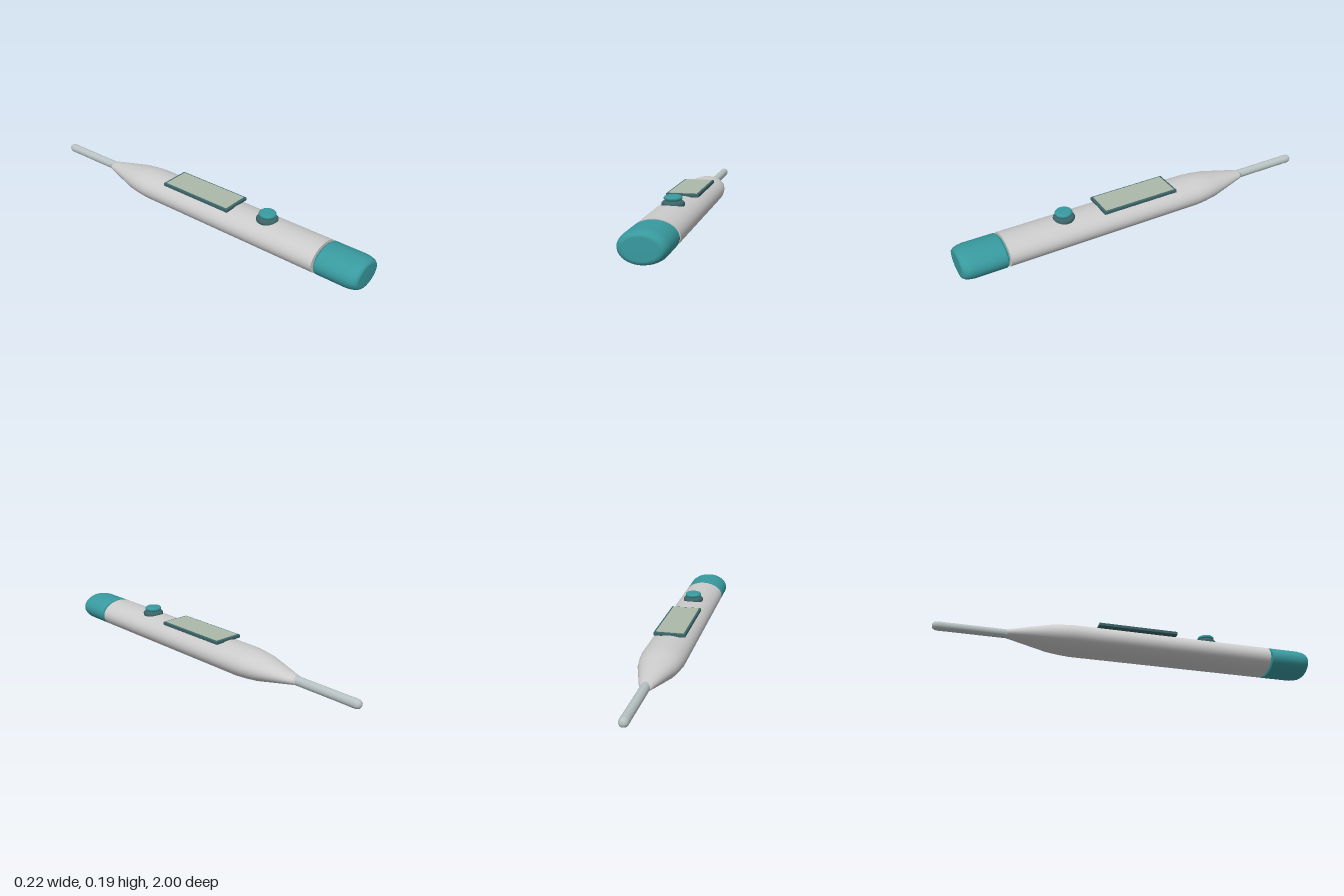
import * as THREE from 'three';
import { RoundedBoxGeometry } from 'three/addons/geometries/RoundedBoxGeometry.js';

const AXIS_Y = 0.075;
const FLAT = 0.67; // height of the oval section relative to its width

const paint = (color) => new THREE.MeshStandardMaterial({ color });

export function createModel() {
  const model = new THREE.Group();
  const shell = paint(0xdde1e0);
  const teal = paint(0x389a9f);
  const dark = paint(0x3c6468);
  const metal = paint(0xb8c2c2);
  const glass = paint(0xabb9a9);

  const add = (name, geometry, material, x, y, z) => {
    const mesh = new THREE.Mesh(geometry, material);
    mesh.name = name;
    mesh.position.set(x, y, z);
    model.add(mesh);
    return mesh;
  };
  const lathe = (points, segments) =>
    new THREE.LatheGeometry(points.map(([r, h]) => new THREE.Vector2(r, h)), segments);

  // Profiles of [radius, z] turned about the long axis, then flattened to an oval
  const turned = (name, points, material, flat = FLAT) => {
    const geometry = lathe(points, 48);
    geometry.scale(1, 1, flat);
    geometry.rotateX(Math.PI / 2);
    return add(name, geometry, material, 0, AXIS_Y, 0);
  };

  // Oval housing narrowing towards the probe
  turned('body', [
    [0, -0.64], [0.027, -0.64], [0.034, -0.625], [0.095, -0.425],
    [0.106, -0.36], [0.112, -0.3], [0.112, 0.1], [0.112, 0.768],
  ], shell);
  turned('bodyEnd', [[0.112, 0.768], [0, 0.7681]], shell);
  turned('capJoint', [[0.085, 0.76], [0.085, 0.79]], teal);

  // Rounded end cap
  turned('endCap', [
    [0, 0.778], [0.106, 0.778], [0.112, 0.784], [0.112, 0.86], [0.112, 0.945],
    [0.108, 0.968], [0.1, 0.988], [0.09, 0.998], [0.075, 1], [0, 1],
  ], teal);

  // Slim sensor probe with a rounded tip
  turned('probe', [[0.023, -0.945], [0.023, -0.62]], metal, 1);
  turned('probeTip', [
    [0, -1], [0.009, -0.999], [0.017, -0.994], [0.022, -0.984], [0.0235, -0.97], [0.0235, -0.945],
  ], metal, 1);

  // Display: dark frame with a pale window
  add('displayFrame', new RoundedBoxGeometry(0.164, 0.017, 0.424, 2, 0.003), dark, 0, 0.1525, 0.04);
  add('displayWindow', new THREE.BoxGeometry(0.144, 0.004, 0.4), glass, 0, 0.1612, 0.04);

  // Push button on a collar
  add('buttonCollar', lathe([
    [0.05, -0.012], [0.055, -0.006], [0.055, 0.006], [0.049, 0.014], [0.03, 0.016], [0, 0.016],
  ], 32), dark, 0, 0.148, 0.44);
  add('buttonStem', new THREE.CylinderGeometry(0.025, 0.025, 0.012, 24), teal, 0, 0.165, 0.44);
  add('button', lathe([
    [0, 0], [0.032, 0], [0.04, 0.004], [0.044, 0.009], [0.044, 0.015],
    [0.04, 0.021], [0.034, 0.0235], [0, 0.0235],
  ], 32), teal, 0, 0.165, 0.44);

  return model;
}
